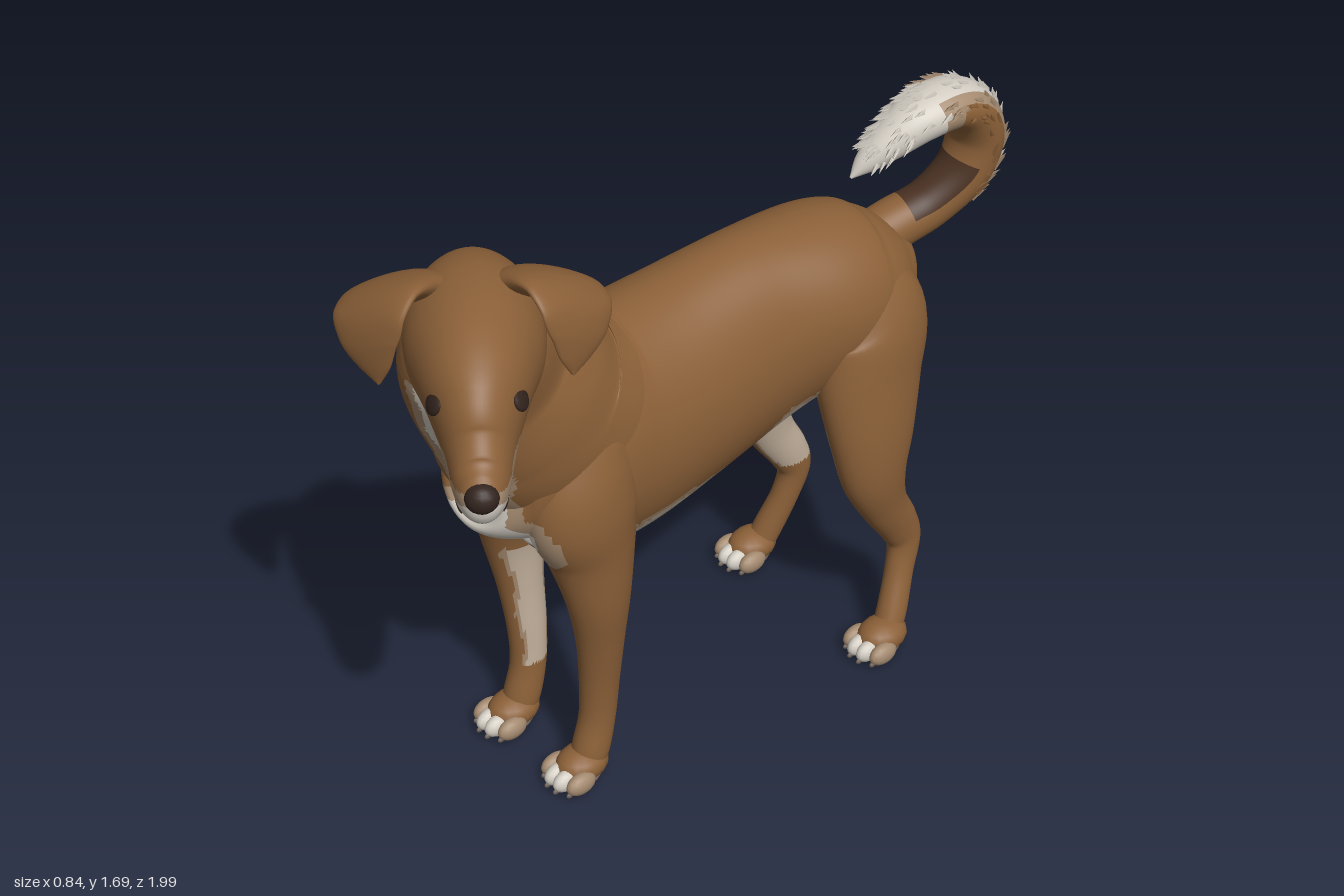
import * as THREE from 'three';
import { mergeGeometries } from 'three/addons/utils/BufferGeometryUtils.js';

const paint = (name, color) => {
  const m = new THREE.MeshStandardMaterial({ color });
  m.name = name;
  return m;
};
const BROWN = 0, CREAM = 1, TAN = 2, DARK = 3, BUFF = 4;
const coat = [paint('brown fur', 0x8b6038), paint('cream fur', 0xd2ccc2), paint('tan fur', 0xa48a70),
  paint('dark fur', 0x4a3122), paint('buff fur', 0xc0ae9a)];
const noseMat = paint('nose black', 0x33241e);
const padMat = paint('paw pad grey', 0x6b5f57);

// Surface through stations [x, y, z, halfWidth, halfHeight]; ref is the width direction
function sampler(stations, ref = new THREE.Vector3(1, 0, 0)) {
  const path = new THREE.CatmullRomCurve3(stations.map(s => new THREE.Vector3(s[0], s[1], s[2])), false, 'catmullrom', 0.5);
  const size = new THREE.CatmullRomCurve3(stations.map(s => new THREE.Vector3(s[3], s[4], 0)), false, 'catmullrom', 0.5);
  return t => {
    const c = path.getPoint(t), r = size.getPoint(t), T = path.getTangent(t);
    const S = ref.clone().addScaledVector(T, -T.dot(ref)).normalize();
    const U = T.clone().cross(S);
    const w = Math.max(r.x, 0.002), h = Math.max(r.y, 0.002);
    return { T, at: a => c.clone().addScaledVector(S, w * Math.cos(a)).addScaledVector(U, h * Math.sin(a)),
      out: a => S.clone().multiplyScalar(Math.cos(a)).addScaledVector(U, Math.sin(a)) };
  };
}

// Skins the stations; rule(point, cos, sin, t) picks the coat colour of each triangle
function loft(name, stations, rule = () => BROWN, { rows = 72, sides = 56, ref } = {}) {
  const ring = sampler(stations, ref), pts = [], faces = coat.map(() => []);
  for (let i = 0; i <= rows; i++) {
    const r = ring(i / rows);
    for (let j = 0; j < sides; j++) pts.push(r.at(j / sides * Math.PI * 2));
  }
  for (let i = 0; i < rows; i++) for (let j = 0; j < sides; j++) {
    const k = (j + 1) % sides, a = i * sides + j, b = i * sides + k, c = b + sides, d = a + sides;
    const ang = (j + 0.5) / sides * Math.PI * 2;
    for (const tri of [[a, b, c], [a, c, d]]) {
      const mid = new THREE.Vector3();
      tri.forEach(v => mid.addScaledVector(pts[v], 1 / 3));
      faces[rule(mid, Math.cos(ang), Math.sin(ang), (i + 0.5) / rows)].push(...tri);
    }
  }
  const geo = new THREE.BufferGeometry().setFromPoints(pts);
  geo.setIndex(faces.flat());
  let start = 0;
  faces.forEach((f, m) => { if (f.length) geo.addGroup(start, f.length, m); start += f.length; });
  geo.computeVertexNormals();
  const mesh = new THREE.Mesh(geo, coat);
  mesh.name = name;
  return mesh;
}

function ball(name, mat, [x, y, z], [sx, sy, sz]) {
  const m = new THREE.Mesh(new THREE.SphereGeometry(1, 16, 10), mat);
  m.position.set(x, y, z);
  m.scale.set(sx, sy, sz);
  m.name = name;
  return m;
}

const band = (d, edge, pale = CREAM) => d < 0 ? pale : d < edge ? TAN : BROWN;

// Pale chest blaze: a strip down the throat that widens over the breast
function chestRule(p) {
  if (p.z < 0.41 + Math.max(0, p.y - 0.8) * 0.5 || p.y > 1.38) return BROWN;
  const strip = p.y > 0.82 ? Math.abs(p.x - (-0.06 + (p.y - 0.9) * 0.15)) - 0.05 : 1;
  const breast = (Math.hypot((p.x + 0.1) / 0.155, (p.y - 0.825) / 0.065) - 1) * 0.08;
  const point = (Math.hypot((p.x + 0.12) / 0.07, (p.y - 0.77) / 0.07) - 1) * 0.07;
  return band(Math.min(strip, breast, point) + 0.008 * Math.sin(p.y * 40), 0.035);
}
function torsoRule(p) {
  if (p.z > 0.3 || p.z < -0.45) return chestRule(p);
  const edge = 0.75 + 0.09 * THREE.MathUtils.smoothstep(-p.z, 0.12, 0.26);
  return band(p.y - edge - 0.01 * Math.sin(p.z * 14), 0.022, BUFF);
}

// Paw with four short toes and a dark pad beneath
function paw(x, z) {
  const g = new THREE.Group();
  g.name = 'paw';
  g.add(ball('instep', coat[BROWN], [x, 0.048, z], [0.06, 0.046, 0.075]));
  for (let i = 0; i < 4; i++) {
    const u = i - 1.5, inner = Math.abs(u) < 1;
    const tx = x + u * 0.034, tz = z + (inner ? 0.062 : 0.045);
    g.add(ball('toe', coat[inner ? CREAM : TAN], [tx, 0.034, tz], [0.024, 0.031, 0.045]));
    g.add(ball('claw', padMat, [tx, 0.016, tz + 0.038], [0.006, 0.008, 0.01]));
  }
  g.add(ball('pad', padMat, [x, 0.012, z + 0.015], [0.052, 0.012, 0.07]));
  return g;
}

// Leg stations give the sideways offset from the middle line
function leg(name, side, middle, stations, rule, pawAt) {
  const g = new THREE.Group();
  g.name = name;
  g.add(loft(name + 'Limb', stations.map(([x, ...rest]) => [middle + side * x, ...rest]),
    (p, c) => rule(p, c * side), { rows: 90, sides: 40 }));
  g.add(paw(middle + side * pawAt[0], pawAt[1]));
  return g;
}

function makeHead() {
  const head = new THREE.Group();
  head.name = 'head';
  head.position.set(0.03, 1.5, 0.7);
  head.rotation.y = 0.93;
  const skull = [
    [0, 0, -0.2, 0.02, 0.02], [0, 0.01, -0.17, 0.1, 0.11], [0, 0.01, -0.07, 0.155, 0.155],
    [0, 0, 0.05, 0.16, 0.168], [0, -0.015, 0.15, 0.137, 0.162], [0, -0.06, 0.23, 0.105, 0.156],
    [0, -0.107, 0.3, 0.08, 0.123], [0, -0.135, 0.37, 0.065, 0.093], [0, -0.14, 0.42, 0.05, 0.065],
    [0, -0.14, 0.45, 0.03, 0.035], [0, -0.14, 0.46, 0.004, 0.004]];
  head.add(loft('skull', skull,
    p => p.z < 0.12 ? BROWN : band(p.y + 0.135 - 0.02 * Math.sin(p.z * 28), 0.032), { rows: 96, sides: 64 }));
  head.add(ball('nose', noseMat, [0, -0.122, 0.438], [0.039, 0.036, 0.034]));
  const ring = sampler(skull), front = new THREE.Vector3(0, 0, 1);
  for (const s of [-1, 1]) {
    const turn = a => s > 0 ? a : Math.PI - a;
    // Eye set flat on the skull
    const socket = ring(0.49), eye = ball('eye', noseMat, socket.at(turn(0.49)).toArray(), [0.035, 0.026, 0.01]);
    eye.quaternion.setFromUnitVectors(front, socket.out(turn(0.49)));
    head.add(eye);
    // Lip line
    const lip = new THREE.CatmullRomCurve3([0.8, 0.73, 0.65, 0.55].map(t => ring(t).at(turn(-0.6))));
    const mouth = new THREE.Mesh(new THREE.TubeGeometry(lip, 16, 0.005, 6), noseMat);
    mouth.name = 'mouth';
    head.add(mouth);
    // Drop ear: rises behind a slanting fold, then hangs forward to a tip
    head.add(loft('ear', [
      [0.06, 0.07, -0.06, 0.07, 0.05], [0.13, 0.112, -0.04, 0.1, 0.04], [0.193, 0.128, 0.005, 0.125, 0.028],
      [0.228, 0.102, 0.048, 0.122, 0.02], [0.235, 0.05, 0.073, 0.095, 0.016], [0.225, -0.005, 0.088, 0.055, 0.012],
      [0.215, -0.05, 0.098, 0.004, 0.004]].map(([x, ...r]) => [s * x, ...r]),
    undefined, { rows: 36, sides: 32, ref: new THREE.Vector3(s * 0.68, -0.415, -0.6).normalize() }));
  }
  return head;
}

function makeTail() {
  const tail = new THREE.Group();
  tail.name = 'tail';
  const stations = [
    [-0.07, 1.12, -0.6, 0.07, 0.08], [-0.05, 1.16, -0.7, 0.07, 0.07], [-0.02, 1.2, -0.8, 0.068, 0.066],
    [0.01, 1.28, -0.885, 0.075, 0.068], [0.02, 1.38, -0.915, 0.082, 0.068], [0.02, 1.465, -0.88, 0.086, 0.068],
    [0.015, 1.505, -0.81, 0.086, 0.063], [0.005, 1.495, -0.72, 0.075, 0.06], [-0.01, 1.455, -0.64, 0.055, 0.05],
    [-0.025, 1.41, -0.57, 0.03, 0.03], [-0.03, 1.38, -0.525, 0.003, 0.003]];
  const rule = (p, c, s, t) => {
    if (t > 0.66 || (s > 0.8 && t > 0.2)) return CREAM;
    if (t > 0.61 || (s > 0.45 && t > 0.25)) return TAN;
    return s < -0.4 && t > 0.14 && t < 0.34 ? DARK : BROWN;
  };
  tail.add(loft('tailBody', stations, rule));
  // Coarse tufts along the outer side and the tip
  let seed = 7;
  const rnd = () => (seed = (seed * 16807) % 2147483647) / 2147483647;
  const ring = sampler(stations), tufts = coat.map(() => []), up = new THREE.Vector3(0, 1, 0);
  for (let i = 0; i < 200; i++) {
    const t = 0.27 + rnd() * 0.62, a = Math.PI / 2 + (rnd() - 0.5) * 3.6, r = ring(t);
    const dir = r.T.clone().addScaledVector(r.out(a), 0.3 + rnd() * 0.3).normalize();
    const cone = new THREE.ConeGeometry(0.01, 0.045, 4);
    cone.applyQuaternion(new THREE.Quaternion().setFromUnitVectors(up, dir));
    const p = r.at(a).addScaledVector(dir, 0.006);
    cone.translate(p.x, p.y, p.z);
    tufts[rule(p, Math.cos(a), Math.sin(a), t)].push(cone);
  }
  tufts.forEach((list, m) => {
    if (!list.length) return;
    const mesh = new THREE.Mesh(mergeGeometries(list), coat[m]);
    mesh.name = 'tailTufts';
    tail.add(mesh);
  });
  return tail;
}

export function createModel() {
  const dog = new THREE.Group();
  dog.name = 'dog';
  dog.add(loft('torso', [
    [-0.06, 1, -0.7, 0.01, 0.01], [-0.06, 1, -0.685, 0.11, 0.11], [-0.065, 1.02, -0.64, 0.165, 0.165],
    [-0.07, 1.04, -0.55, 0.205, 0.215], [-0.08, 1.05, -0.45, 0.22, 0.245], [-0.1, 1.02, -0.25, 0.205, 0.285],
    [-0.115, 0.975, 0, 0.228, 0.305], [-0.115, 0.955, 0.2, 0.235, 0.325], [-0.11, 0.97, 0.35, 0.235, 0.325],
    [-0.11, 0.98, 0.48, 0.215, 0.265], [-0.105, 0.965, 0.58, 0.165, 0.175], [-0.1, 0.97, 0.62, 0.09, 0.1],
    [-0.1, 0.97, 0.635, 0.01, 0.01]], torsoRule, { rows: 120, sides: 96 }));
  dog.add(loft('neck', [
    [-0.115, 0.97, 0.1, 0.18, 0.24], [-0.11, 1, 0.28, 0.22, 0.28], [-0.11, 1.09, 0.42, 0.228, 0.272],
    [-0.1, 1.175, 0.49, 0.217, 0.252], [-0.085, 1.3, 0.585, 0.19, 0.212], [-0.03, 1.44, 0.66, 0.165, 0.18],
    [0.01, 1.54, 0.71, 0.1, 0.1]], chestRule, { rows: 90, sides: 96 }));
  dog.add(makeHead(), makeTail());
  dog.add(ball('bellySheath', coat[BUFF], [-0.1, 0.755, -0.26], [0.035, 0.04, 0.09]));

  const fore = [
    [0.07, 1.2, 0.36, 0.02, 0.02], [0.11, 1.12, 0.37, 0.09, 0.1], [0.14, 1, 0.395, 0.108, 0.135],
    [0.152, 0.88, 0.415, 0.112, 0.152], [0.155, 0.75, 0.395, 0.098, 0.12], [0.168, 0.6, 0.385, 0.074, 0.088],
    [0.16, 0.45, 0.375, 0.057, 0.066], [0.146, 0.3, 0.37, 0.048, 0.055], [0.14, 0.18, 0.375, 0.045, 0.05],
    [0.14, 0.08, 0.4, 0.048, 0.05], [0.14, 0.035, 0.42, 0.04, 0.04]];
  const foreRule = (p, c) => p.y > 0.65 ? chestRule(p)
    : p.y > 0.2 && p.y < 0.6 ? band(c + 0.75 + 0.08 * Math.sin(p.y * 30), 0.15, BUFF) : BROWN;
  const hind = [
    [0.07, 1.17, -0.44, 0.02, 0.02], [0.1, 1.12, -0.46, 0.08, 0.12], [0.14, 1, -0.52, 0.113, 0.172],
    [0.17, 0.85, -0.5, 0.105, 0.16], [0.205, 0.7, -0.485, 0.085, 0.13], [0.22, 0.58, -0.485, 0.068, 0.1],
    [0.22, 0.46, -0.525, 0.05, 0.07], [0.215, 0.36, -0.585, 0.042, 0.06], [0.215, 0.29, -0.612, 0.038, 0.052],
    [0.225, 0.2, -0.59, 0.037, 0.042], [0.245, 0.1, -0.55, 0.04, 0.042], [0.255, 0.04, -0.52, 0.04, 0.04]];
  const hindRule = (p, c) => p.y > 0.33 && p.y < 0.92
    ? band(c + 0.5 + 0.08 * Math.sin(p.y * 26), 0.15, BUFF) : BROWN;
  for (const s of [-1, 1]) {
    const label = s > 0 ? 'left' : 'right';
    dog.add(leg(label + 'FrontLeg', s, -0.11, fore, foreRule, [0.14, 0.43]));
    dog.add(leg(label + 'HindLeg', s, -0.085, hind, hindRule, [0.26, -0.5]));
  }
  return dog;
}
